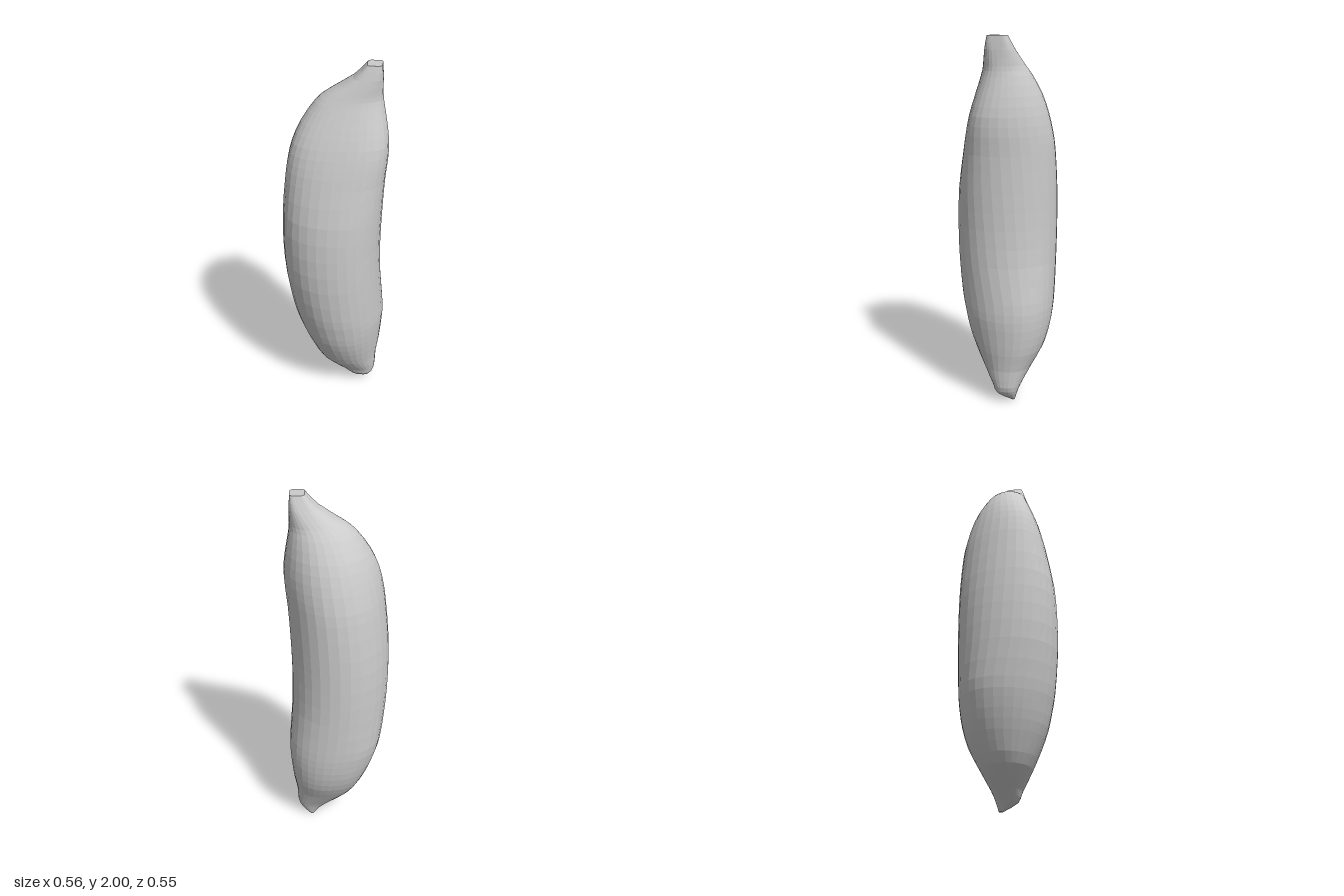
import * as THREE from 'three';

// Cross-sections from bottom to top:
// y, x min, x max, z min, z max, forward lean of the sides, squareness (2 = ellipse)
const SECTIONS = [
  [0.00, 0.145, 0.17, -0.075, -0.055, 0, 2.5],
  [0.05, 0.10, 0.218, -0.09, 0.025, 0, 2.8],
  [0.10, 0.04, 0.24, -0.11, 0.05, 0, 2.5],
  [0.20, -0.08, 0.245, -0.163, 0.115, -0.05, 2.2],
  [0.30, -0.14, 0.26, -0.215, 0.165, -0.08, 2.1],
  [0.40, -0.185, 0.27, -0.245, 0.205, -0.1, 2.07],
  [0.50, -0.22, 0.277, -0.26, 0.23, -0.1, 2.07],
  [0.60, -0.245, 0.273, -0.266, 0.25, -0.1, 2.07],
  [0.80, -0.27, 0.257, -0.27, 0.27, 0, 2.07],
  [1.00, -0.28, 0.252, -0.272, 0.274, 0.06, 2.07],
  [1.20, -0.275, 0.257, -0.27, 0.262, 0.13, 2.07],
  [1.40, -0.255, 0.267, -0.26, 0.227, 0.22, 2.07],
  [1.50, -0.24, 0.277, -0.247, 0.207, 0.26, 2.07],
  [1.60, -0.215, 0.28, -0.225, 0.182, 0.28, 2.07],
  [1.70, -0.17, 0.267, -0.192, 0.15, 0.24, 2.07],
  [1.80, -0.10, 0.248, -0.142, 0.115, 0.15, 2.1],
  [1.85, -0.04, 0.242, -0.11, 0.1, 0.08, 2.2],
  [1.93, 0.09, 0.24, -0.07, 0.08, 0, 3],
  [2.00, 0.16, 0.235, -0.039, 0.06, 0, 5],
];
const SIDES = 32;
const STEPS = 2; // rings per section

// Curve through three columns of the section table
const columnCurve = (u, v, w) => new THREE.CatmullRomCurve3(
  SECTIONS.map((s) => new THREE.Vector3(s[u], s[v], s[w])), false, 'catmullrom');

// Closed skin through the cross-sections
function bodyGeometry() {
  const low = columnCurve(1, 0, 3);
  const high = columnCurve(2, 0, 4);
  const form = columnCurve(5, 0, 6);
  const rings = (SECTIONS.length - 1) * STEPS;
  const positions = [];
  const index = [];
  for (let i = 0; i <= rings; i++) {
    const a = low.getPoint(i / rings);
    const b = high.getPoint(i / rings);
    const { x: lean, z: squareness } = form.getPoint(i / rings);
    const mid = a.clone().add(b).multiplyScalar(0.5);
    const round = (n) => Math.sign(n) * Math.abs(n) ** (2 / squareness);
    for (let j = 0; j < SIDES; j++) {
      const t = (j / SIDES) * Math.PI * 2;
      const c = round(Math.cos(t));
      const s = round(Math.sin(t)) + lean * Math.cos(t) ** 2;
      positions.push(mid.x + (b.x - mid.x) * c, a.y, mid.z + (b.z - mid.z) * s);
    }
  }
  for (let i = 0; i < rings; i++) {
    for (let j = 0; j < SIDES; j++) {
      const a = i * SIDES + j;
      const b = i * SIDES + (j + 1) % SIDES;
      index.push(a, a + SIDES, b, b, a + SIDES, b + SIDES);
    }
  }
  // Small end caps
  const top = rings * SIDES;
  for (let j = 1; j < SIDES - 1; j++) {
    index.push(0, j, j + 1, top, top + j + 1, top + j);
  }
  const geometry = new THREE.BufferGeometry();
  geometry.setAttribute('position', new THREE.Float32BufferAttribute(positions, 3));
  geometry.setIndex(index);
  geometry.computeVertexNormals();
  return geometry;
}

export function createModel() {
  const group = new THREE.Group();
  group.name = 'curvedFruit';
  const material = new THREE.MeshStandardMaterial({ color: 0xcccccc, flatShading: true });
  const body = new THREE.Mesh(bodyGeometry(), material);
  body.name = 'body';
  group.add(body);
  return group;
}
